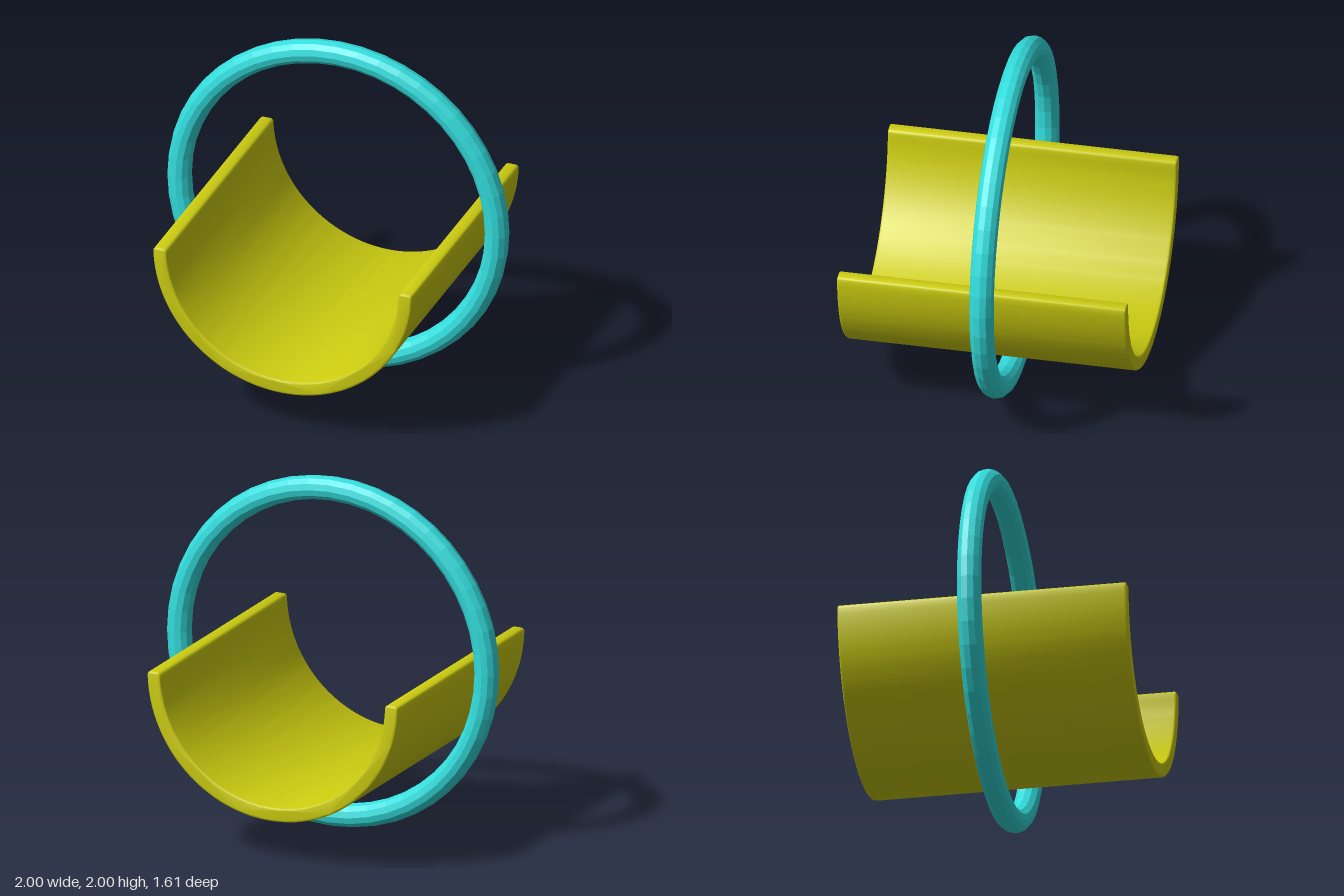
import * as THREE from 'three';
import { toCreasedNormals } from 'three/addons/utils/BufferGeometryUtils.js';

const OUTER = 0.76, INNER = 0.68, LENGTH = 1.61, ROUND = 0.02, BEVEL = 0.012;

// Half-ring cross-section with softly rounded upper rims
function troughSection() {
  const points = [];
  const arc = (cx, cy, r, from, to, steps, first = 0, last = steps) => {
    for (let i = first; i <= last; i++) {
      const a = from + (to - from) * i / steps;
      points.push(new THREE.Vector2(cx + r * Math.cos(a), cy + r * Math.sin(a)));
    }
  };
  const PI = Math.PI, a = ROUND / OUTER, b = ROUND / INNER;
  arc(0, 0, OUTER, PI + a, 2 * PI - a, 64);
  arc(OUTER - ROUND, -ROUND, ROUND, 0, PI / 2, 4, 1, 4);
  arc(INNER + ROUND, -ROUND, ROUND, PI / 2, PI, 4, 0, 3);
  arc(0, 0, INNER, 2 * PI - b, PI + b, 64);
  arc(-INNER - ROUND, -ROUND, ROUND, 0, PI / 2, 4, 1, 4);
  arc(-OUTER + ROUND, -ROUND, ROUND, PI / 2, PI, 4, 0, 3);
  return new THREE.Shape(points);
}

export function createModel() {
  const group = new THREE.Group();

  // Half-cylinder trough with bevelled ends
  const troughGeometry = new THREE.ExtrudeGeometry(troughSection(), {
    depth: LENGTH - 2 * BEVEL,
    bevelThickness: BEVEL, bevelSize: BEVEL, bevelOffset: -BEVEL, bevelSegments: 3,
  });
  troughGeometry.translate(0, 0, -LENGTH / 2 + BEVEL);
  const trough = new THREE.Mesh(
    toCreasedNormals(troughGeometry, 0.6),
    new THREE.MeshStandardMaterial({ color: 0xcccc11 }));
  trough.name = 'trough';
  trough.position.y = 1;
  group.add(trough);

  // Faceted ring around the trough
  const ring = new THREE.Mesh(
    new THREE.TorusGeometry(0.932, 0.068, 12, 48),
    new THREE.MeshStandardMaterial({ color: 0x33dddd, flatShading: true }));
  ring.name = 'ring';
  ring.position.set(0, 1, -0.036);
  group.add(ring);

  return group;
}
